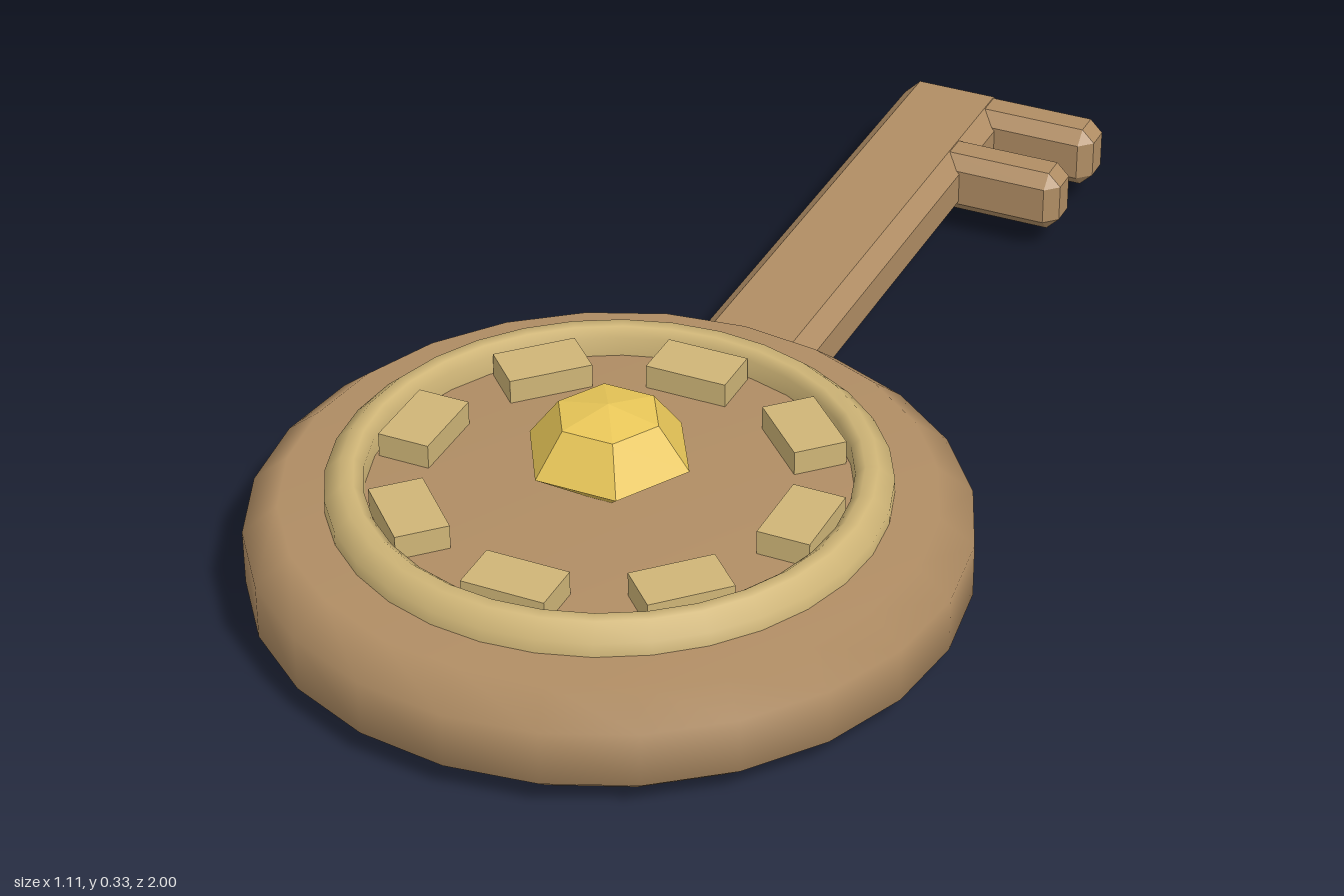
import * as THREE from 'three';
import { ConvexGeometry } from 'three/addons/geometries/ConvexGeometry.js';

const BOW_Z = 0.445; // centre of the round bow

const bronze = new THREE.MeshStandardMaterial({ color: 0xb08d64 });
const bronzeFlat = new THREE.MeshStandardMaterial({ color: 0xb08d64, flatShading: true });
const brass = new THREE.MeshStandardMaterial({ color: 0xcfb577 });
const brassFlat = new THREE.MeshStandardMaterial({ color: 0xcfb577, flatShading: true });
const gold = new THREE.MeshStandardMaterial({ color: 0xe8c658, flatShading: true });

function lathe(profile, sides) {
  return new THREE.LatheGeometry(profile.map(([r, y]) => new THREE.Vector2(r, y)), sides);
}

// Box with every edge and corner cut at an angle
function chamferBox(w, h, d, c) {
  const points = [];
  for (const sx of [-1, 1]) for (const sy of [-1, 1]) for (const sz of [-1, 1]) {
    for (let flush = 0; flush < 3; flush++) {
      const half = [w / 2, h / 2, d / 2].map((v, i) => (i === flush ? v : v - c));
      points.push(new THREE.Vector3(sx * half[0], sy * half[1], sz * half[2]));
    }
  }
  return new ConvexGeometry(points);
}

export function createModel() {
  const model = new THREE.Group();
  model.name = 'key';

  function add(name, geometry, material, x = 0, y = 0, z = 0, parent = model) {
    const mesh = new THREE.Mesh(geometry, material);
    mesh.name = name;
    mesh.position.set(x, y, z);
    parent.add(mesh);
    return mesh;
  }

  // Round bow with chamfered rims
  add('bowDisc', lathe([
    [0, 0], [0.5, 0], [0.555, 0.045], [0.555, 0.135], [0.5, 0.18], [0, 0.18],
  ], 24), bronze, 0, 0, BOW_Z);

  // Raised ring
  add('bowRing', lathe([
    [0.43, 0.17], [0.43, 0.203], [0.405, 0.225], [0.385, 0.225], [0.37, 0.212], [0.37, 0.17],
  ], 32), brass, 0, 0, BOW_Z);

  // Eight studs inside the ring
  const studs = new THREE.Group();
  studs.name = 'studs';
  studs.position.z = BOW_Z;
  model.add(studs);
  const studGeometry = new THREE.BoxGeometry(0.135, 0.05, 0.085);
  for (let i = 0; i < 8; i++) {
    const a = (i * Math.PI) / 4;
    const stud = add('stud', studGeometry, brassFlat, Math.sin(a) * 0.315, 0.195, Math.cos(a) * 0.315, studs);
    stud.rotation.y = a;
  }

  // Six-sided cut gem
  const gem = add('gem', lathe([
    [0, 0.15], [0.133, 0.245], [0.083, 0.313], [0, 0.33],
  ], 6), gold, 0, 0, BOW_Z);
  gem.rotation.y = Math.PI / 2;

  // Shaft, with its inner end buried in the bow
  add('shaft', chamferBox(0.196, 0.11, 1, 0.028), bronzeFlat, 0, 0.095, -0.5);

  // Two teeth on the left side
  const toothGeometry = chamferBox(0.25, 0.108, 0.086, 0.022);
  for (const z of [-0.948, -0.782]) add('tooth', toothGeometry, bronzeFlat, 0.15, 0.095, z);

  return model;
}
